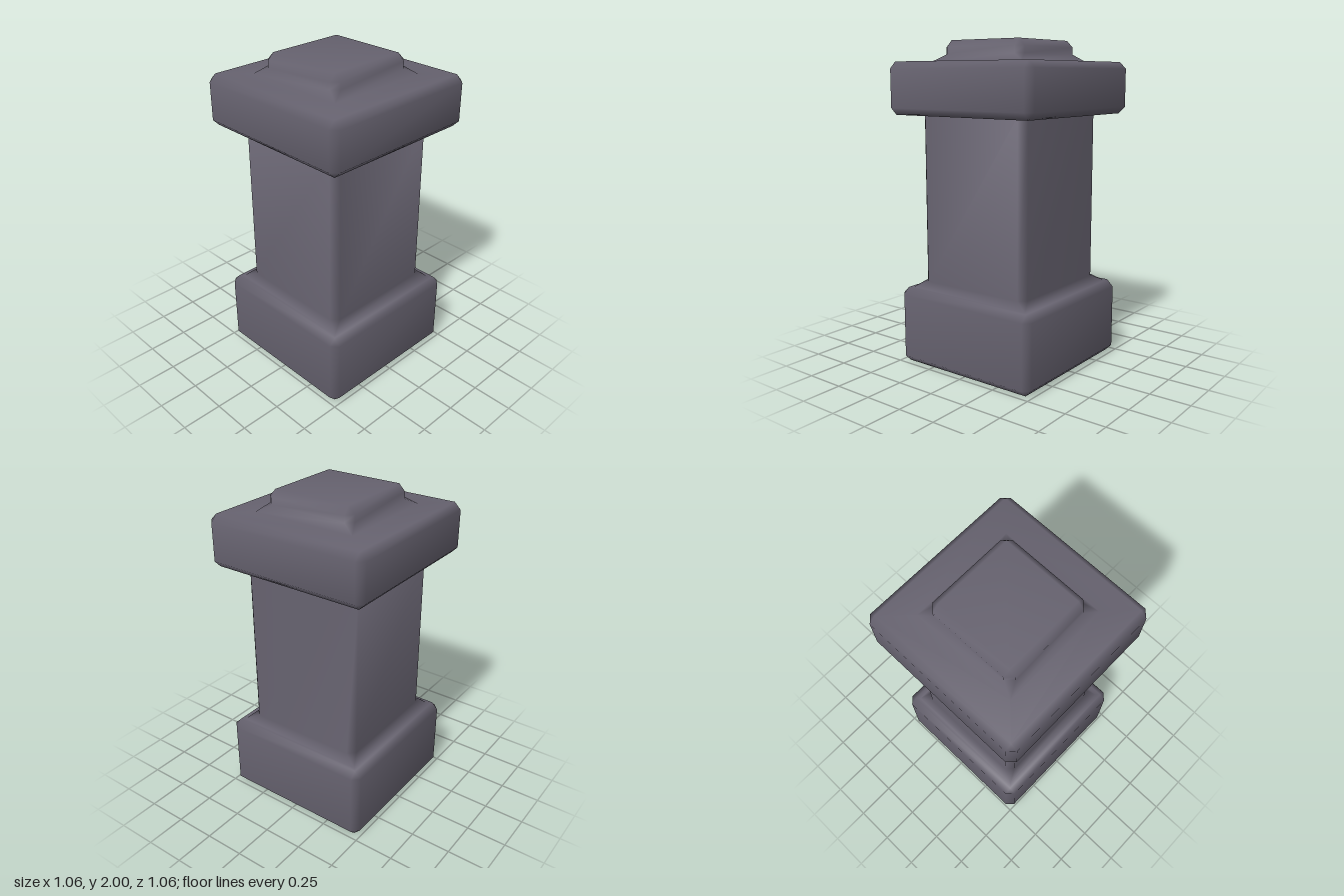
import * as THREE from 'three';
import { mergeVertices } from 'three/addons/utils/BufferGeometryUtils.js';

// Square ring of half-width w at height y, with corners cut by c (0 = sharp)
function ring([y, w, c]) {
  const k = w - c;
  return [[w, -k], [w, k], [k, w], [-k, w], [-w, k], [-w, -k], [-k, -w], [k, -w]]
    .map(([x, z]) => [x, y, z]);
}

// Smooth solid lofted through the rings, closed at both ends
function loft(profile) {
  const pos = [];
  const index = [];
  profile.forEach((p) => ring(p).forEach((v) => pos.push(...v)));
  const last = (profile.length - 1) * 8;
  for (let r = 0; r < last; r += 8) {
    for (let i = 0; i < 8; i++) {
      const a = r + i, b = r + (i + 1) % 8;
      index.push(a, a + 8, b, b, a + 8, b + 8);
    }
  }
  for (let i = 1; i < 7; i++) {
    index.push(0, i, i + 1, last, last + i + 1, last + i);
  }
  let geo = new THREE.BufferGeometry();
  geo.setAttribute('position', new THREE.Float32BufferAttribute(pos, 3));
  geo.setIndex(index);
  geo = mergeVertices(geo);

  // Drop the triangles that collapse at sharp corners
  const old = geo.index.array;
  const kept = [];
  for (let i = 0; i < old.length; i += 3) {
    const [a, b, c] = [old[i], old[i + 1], old[i + 2]];
    if (a !== b && b !== c && c !== a) kept.push(a, b, c);
  }
  geo.setIndex(kept);
  geo.computeVertexNormals();
  return geo;
}

export function createModel() {
  const group = new THREE.Group();
  const stone = new THREE.MeshStandardMaterial({ color: 0x66626f });
  stone.name = 'slate stone';

  // Bevelled plinth flaring into the square shaft: [height, half-width, corner cut]
  const column = new THREE.Mesh(loft([
    [0, 0.453, 0],
    [0.042, 0.495, 0.042],
    [0.44, 0.495, 0.042],
    [0.482, 0.453, 0],
    [0.482, 0.43, 0],
    [0.522, 0.388, 0.042],
    [1.57, 0.388, 0.042],
  ]), stone);
  column.name = 'plinthAndShaft';

  // Overhanging bevelled cap with a small raised block on top
  const cap = new THREE.Mesh(loft([
    [1.558, 0.488, 0],
    [1.6, 0.53, 0.042],
    [1.832, 0.53, 0.042],
    [1.874, 0.488, 0],
    [1.874, 0.333, 0],
    [1.916, 0.291, 0.042],
    [1.958, 0.291, 0.042],
    [2, 0.249, 0],
  ]), stone);
  cap.name = 'capAndTopBlock';

  group.add(column, cap);
  return group;
}
